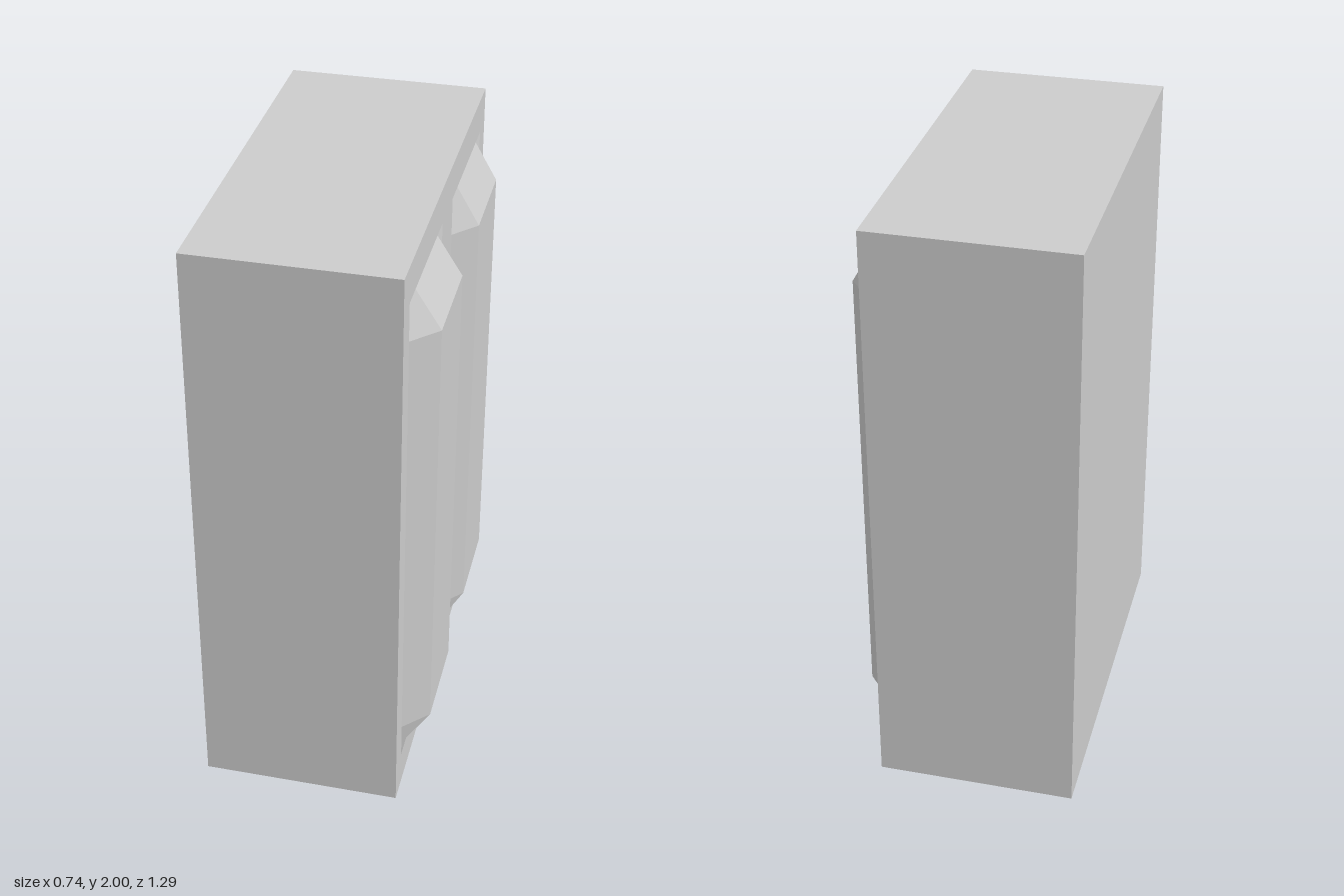
import * as THREE from 'three';

const LEFT = -0.368, WALL = 0.288, DEPTH = 1.295, HEIGHT = 2;

// Plain box body, open on the +x side where the panelled face closes it
function bodyGeometry() {
  const geo = new THREE.BoxGeometry(WALL - LEFT, HEIGHT, DEPTH);
  geo.setIndex(Array.from(geo.index.array).slice(6)); // drop the +x side
  geo.clearGroups();
  geo.translate((WALL + LEFT) / 2, HEIGHT / 2, 0);
  return geo;
}

// Panelled face: a grid of flat quads, pushed out where the two raised panels lie
function panelFaceGeometry() {
  const ys = [0, 0.127, 0.252, 1.753, 1.88, HEIGHT];
  const zs = [-DEPTH / 2, -0.568, -0.487, -0.162, -0.082, 0.082, 0.162, 0.487, 0.568, DEPTH / 2];
  const raised = (i, j) => {
    if (i !== 2 && i !== 3) return WALL;
    if (j === 2 || j === 3) return 0.361; // rear panel
    if (j === 6 || j === 7) return 0.368; // front panel
    return WALL;
  };
  const point = (i, j) => new THREE.Vector3(raised(i, j), ys[i], zs[j]);
  const positions = [], normals = [];
  for (let i = 0; i < ys.length - 1; i++) {
    for (let j = 0; j < zs.length - 1; j++) {
      const [a, b, c, d] = [point(i, j), point(i + 1, j), point(i + 1, j + 1), point(i, j + 1)];
      const ac = c.clone().sub(a), bd = d.clone().sub(b);
      const normal = ac.clone().cross(bd).normalize(); // one normal per quad
      // split along the shorter diagonal
      const corners = ac.length() < bd.length() ? [a, b, c, a, c, d] : [a, b, d, b, c, d];
      for (const p of corners) {
        positions.push(...p.toArray());
        normals.push(...normal.toArray());
      }
    }
  }
  const geo = new THREE.BufferGeometry();
  geo.setAttribute('position', new THREE.Float32BufferAttribute(positions, 3));
  geo.setAttribute('normal', new THREE.Float32BufferAttribute(normals, 3));
  return geo;
}

export function createModel() {
  const group = new THREE.Group();
  group.name = 'panelledBlock';
  const material = new THREE.MeshStandardMaterial({ color: 0xcccccc });
  const add = (name, geometry) => {
    const mesh = new THREE.Mesh(geometry, material);
    mesh.name = name;
    group.add(mesh);
  };
  add('body', bodyGeometry());
  add('panelledFace', panelFaceGeometry());
  return group;
}
